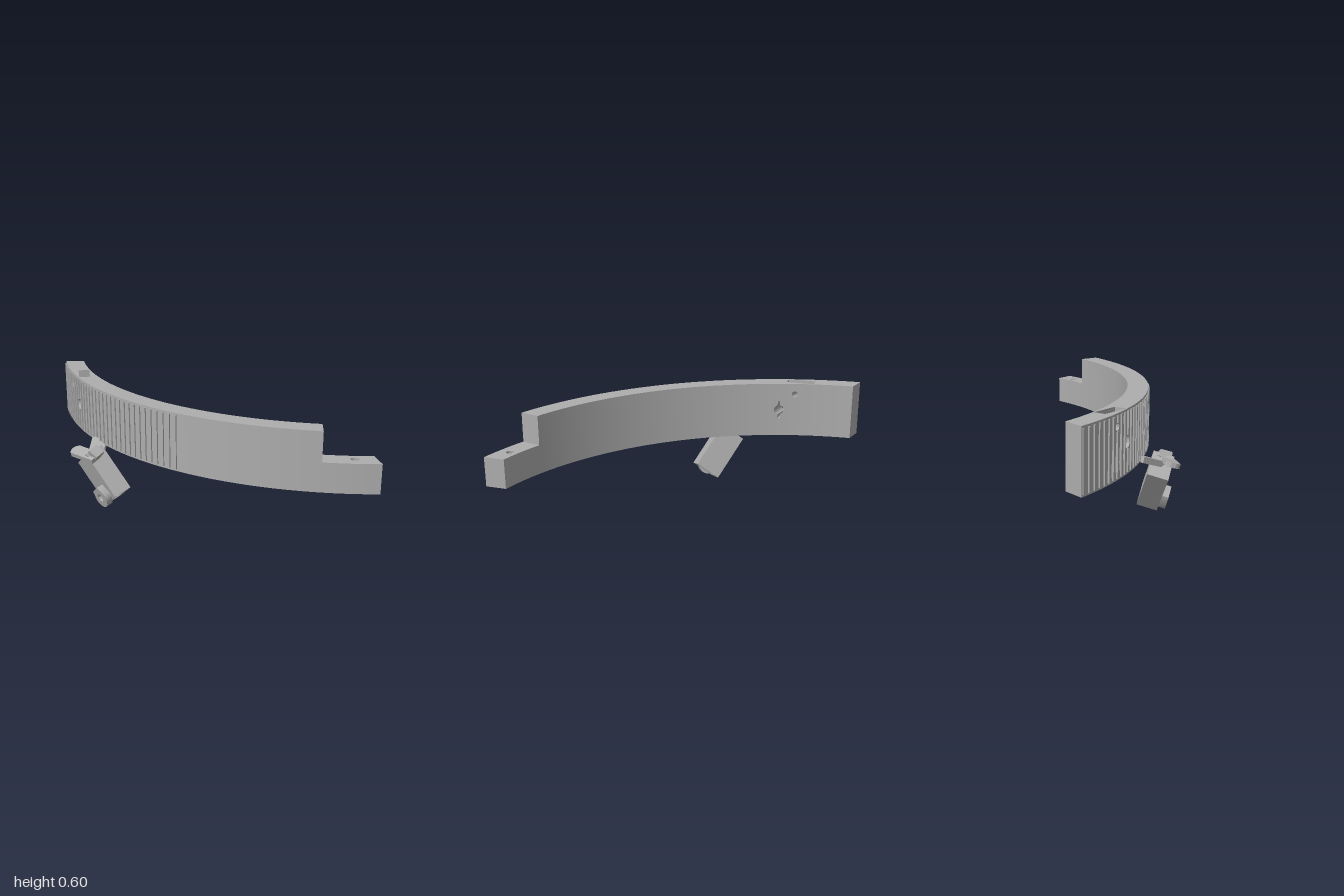
import * as THREE from 'three';
import { toCreasedNormals } from 'three/addons/utils/BufferGeometryUtils.js';

const RO = 1.65, RI = 1.546, CX = 0.378, CZ = -1.265;   // concentric arcs of the band
const Y0 = 0.302, YSTEP = 0.45, Y1 = 0.6;
const DEG = Math.PI / 180;
const LEFT = -56.6, PANEL_A = -51, PANEL_B = -39, STEP = 12.7, RIGHT = 22.15;

// point on an arc, angle in degrees measured from +z
const onArc = (r, t) => [CX + r * Math.sin(t * DEG), CZ + r * Math.cos(t * DEG)];

// the cross cuts are not quite radial: inner angle = outer angle + skew
const SKEW = [[LEFT, 1.05], [PANEL_A, 2.3], [PANEL_B, 2.3], [STEP, -0.3], [RIGHT, -0.65]];
function innerAngle(t) {
  for (let i = 1; i < SKEW.length; i++) {
    const [a, sa] = SKEW[i - 1], [b, sb] = SKEW[i];
    if (t <= b || i === SKEW.length - 1) return t + sa + (sb - sa) * (t - a) / (b - a);
  }
}

// plan of a stretch of the band, drawn in (x, -z)
function plan(t0, t1) {
  const n = Math.max(2, Math.round(t1 - t0)), outer = [], inner = [];
  for (let i = 0; i <= n; i++) {
    const t = t0 + (t1 - t0) * i / n;
    const [ox, oz] = onArc(RO, t), [ix, iz] = onArc(RI, innerAngle(t));
    outer.push(new THREE.Vector2(ox, -oz));
    inner.unshift(new THREE.Vector2(ix, -iz));
  }
  return new THREE.Shape([...outer, ...inner]);
}

function extrudeUp(shape, y0, y1) {
  const g = new THREE.ExtrudeGeometry(shape, { depth: y1 - y0, bevelEnabled: false, curveSegments: 16 });
  g.rotateX(-Math.PI / 2).translate(0, y0, 0);
  return toCreasedNormals(g, 0.5);
}

// closed loop of (angle, y) points round a hole
function holeLoop(t, y, radius) {
  const pts = [];
  for (let i = 0; i < 48; i++) {
    const a = i / 48 * Math.PI * 2, r = radius(a);
    pts.push(new THREE.Vector2(t + r * Math.cos(a) / 1.6 / DEG, y + r * Math.sin(a)));
  }
  return pts;
}

// curved wall with holes, facing out or in
function curvedWall(loops, isOuter) {
  const pts = [], n = 12;
  for (let i = 0; i <= n; i++) pts.push(new THREE.Vector2(PANEL_A + (PANEL_B - PANEL_A) * i / n, Y0));
  for (let i = n; i >= 0; i--) pts.push(new THREE.Vector2(PANEL_A + (PANEL_B - PANEL_A) * i / n, Y1));
  if (!isOuter) pts.forEach(p => { p.x = innerAngle(p.x); });
  const shape = new THREE.Shape(pts);
  shape.holes = loops.map(l => new THREE.Path(l));
  const g = new THREE.ShapeGeometry(shape), p = g.attributes.position, nor = g.attributes.normal;
  const s = isOuter ? 1 : -1;
  for (let i = 0; i < p.count; i++) {
    const t = p.getX(i), [x, z] = onArc(isOuter ? RO : RI, t);
    p.setXYZ(i, x, p.getY(i), z);
    nor.setXYZ(i, s * Math.sin(t * DEG), 0, s * Math.cos(t * DEG));
  }
  if (!isOuter) g.setIndex(Array.from(g.index.array).reverse());
  return g;
}

// lining of a hole between its outer and inner loops
function holeLining(outer, inner) {
  const pos = [], idx = [], n = outer.length;
  for (let i = 0; i < n; i++) {
    const [ox, oz] = onArc(RO, outer[i].x), [ix, iz] = onArc(RI, inner[i].x);
    pos.push(ox, outer[i].y, oz, ix, inner[i].y, iz);
    const a = 2 * i, b = 2 * ((i + 1) % n);
    idx.push(a, b, a + 1, b, b + 1, a + 1);
  }
  const g = new THREE.BufferGeometry();
  g.setAttribute('position', new THREE.Float32BufferAttribute(pos, 3));
  g.setIndex(idx);
  return toCreasedNormals(g, 0.5);
}

export function createModel() {
  const grey = new THREE.MeshStandardMaterial({ color: 0xadadad });
  grey.name = 'grey';
  const model = new THREE.Group();
  const add = (name, geometry, parent = model) => {
    const m = new THREE.Mesh(geometry, grey);
    m.name = name;
    parent.add(m);
    return m;
  };

  // curved band
  add('bandMain', extrudeUp(plan(PANEL_B, STEP), Y0, Y1));
  add('bandEnd', extrudeUp(plan(LEFT, PANEL_A), Y0, Y1));

  // half-height tab with a pin hole
  const tab = plan(STEP, RIGHT);
  tab.holes.push(new THREE.Path().absarc(0.87, -0.247, 0.02, 0, Math.PI * 2, true));
  add('tab', extrudeUp(tab, Y0, YSTEP));

  // stretch with two cross holes and a pocket in the top
  const round = r => () => r;
  const winged = a => (Math.abs(Math.cos(a)) < 0.22 ? 0.05 : 0.027);
  const outerLoops = [holeLoop(-46.6, 0.54, round(0.017)), holeLoop(-42.65, YSTEP, round(0.029))];
  const innerLoops = [holeLoop(-43.9, 0.54, round(0.017)), holeLoop(-40.7, YSTEP, winged)];
  add('outerWall', curvedWall(outerLoops, true));
  add('innerWall', curvedWall(innerLoops, false));
  outerLoops.forEach((l, i) => add('holeLining', holeLining(l, innerLoops[i])));
  add('bandFloor', extrudeUp(plan(PANEL_A, PANEL_B), Y0, Y0 + 0.003));

  const pc = [-0.755, -0.14], pa = 0.55, pw = 0.06, pl = 0.15, pd = 0.22;
  const corners = [[-1, -1], [1, -1], [1, 1], [-1, 1]].map(([i, j]) => {
    const x = i * pw / 2, z = j * pl / 2;
    return new THREE.Vector2(pc[0] + x * Math.cos(pa) + z * Math.sin(pa),
      -(pc[1] - x * Math.sin(pa) + z * Math.cos(pa)));
  });
  const topShape = plan(PANEL_A, PANEL_B);
  topShape.holes.push(new THREE.Path(corners));
  add('bandTop', new THREE.ShapeGeometry(topShape).rotateX(-Math.PI / 2).translate(0, Y1, 0));
  const pocket = new THREE.BoxGeometry(pw, pd, pl).scale(-1, 1, 1);   // turned inside out
  pocket.computeVertexNormals();
  pocket.rotateY(pa).translate(pc[0], Y1 - pd / 2, pc[1]);
  add('pocket', pocket);

  // grip ribs, broken where a hole passes
  const ribs = new THREE.Group();
  ribs.name = 'gripRibs';
  model.add(ribs);
  for (let i = 0; i < 33; i++) {
    const t = -12.7 - i * 1.36;
    let spans = [[0.312, 0.59]];
    if (Math.abs(t + 42.65) < 1.2) spans = [[0.312, 0.42], [0.48, 0.59]];
    if (Math.abs(t + 46.6) < 0.8) spans = [[0.312, 0.52], [0.56, 0.59]];
    for (const [a, b] of spans) {
      const [x, z] = onArc(RO, t);
      const rib = add('rib', new THREE.BoxGeometry(0.011, b - a, 0.014), ribs);
      rib.position.set(x, (a + b) / 2, z);
      rib.rotation.y = t * DEG;
    }
  }

  // tilted socket hanging below the band
  const ez = new THREE.Vector3(-0.43, -0.27, 0.86).normalize();
  const ex = new THREE.Vector3(-0.66, 0.745, -0.04);
  ex.addScaledVector(ez, -ex.dot(ez)).normalize();
  const ey = new THREE.Vector3().crossVectors(ez, ex);
  const socket = new THREE.Group();
  socket.name = 'socket';
  socket.quaternion.setFromRotationMatrix(new THREE.Matrix4().makeBasis(ex, ey, ez));
  socket.position.set(-0.458, 0.163, 0.215);
  model.add(socket);

  const rect = (C, w, h) => new C([[-1, -1], [1, -1], [1, 1], [-1, 1]]
    .map(([a, b]) => new THREE.Vector2(a * w / 2, b * h / 2)));
  const ring = rect(THREE.Shape, 0.104, 0.147);
  ring.holes.push(rect(THREE.Path, 0.066, 0.105));
  add('socketTube', new THREE.ExtrudeGeometry(ring, { depth: 0.27, bevelEnabled: false })
    .translate(0, 0, -0.135).rotateY(Math.PI / 2), socket);
  add('socketPlug', new THREE.BoxGeometry(0.134, 0.12, 0.08), socket).position.x = 0.066;

  // D-shaped boss with a bore on the socket's front
  const boss = new THREE.Shape();
  boss.moveTo(0.052, 0.035);
  boss.lineTo(0, 0.056);
  boss.absarc(0, 0, 0.056, Math.PI / 2, Math.PI * 1.5, false);
  boss.lineTo(0.052, -0.035);
  boss.holes.push(new THREE.Path().absarc(0, 0, 0.021, 0, Math.PI * 2, true));
  add('boss', toCreasedNormals(new THREE.ExtrudeGeometry(boss,
    { depth: 0.036, bevelEnabled: false, curveSegments: 24 }), 0.5), socket).position.set(-0.092, 0.01, 0.051);

  // arm joining the socket to the band's underside
  const from = new THREE.Vector3(-0.5, 0.262, 0.225), to = new THREE.Vector3(-0.545, 0.312, 0.085);
  const arm = add('arm', new THREE.BoxGeometry(0.08, 0.03, from.distanceTo(to)));
  arm.position.copy(from).add(to).multiplyScalar(0.5);
  arm.lookAt(to);

  // flat thumb lever with a rounded tip, and its stop
  const lever = new THREE.Shape();
  lever.moveTo(0.1, -0.036);
  lever.lineTo(0.1, 0.036);
  lever.lineTo(-0.05, 0.036);
  lever.quadraticCurveTo(-0.085, 0, -0.05, -0.036);
  const leverMesh = add('lever', extrudeUp(lever, -0.012, 0.012));
  leverMesh.position.set(-0.565, 0.28, 0.245);
  leverMesh.rotation.set(0.3, -0.25, 0);
  const stop = add('leverStop', new THREE.BoxGeometry(0.055, 0.04, 0.06));
  stop.position.set(-0.483, 0.293, 0.25);
  stop.rotation.set(0.3, -0.25, -0.5);

  return model;
}
